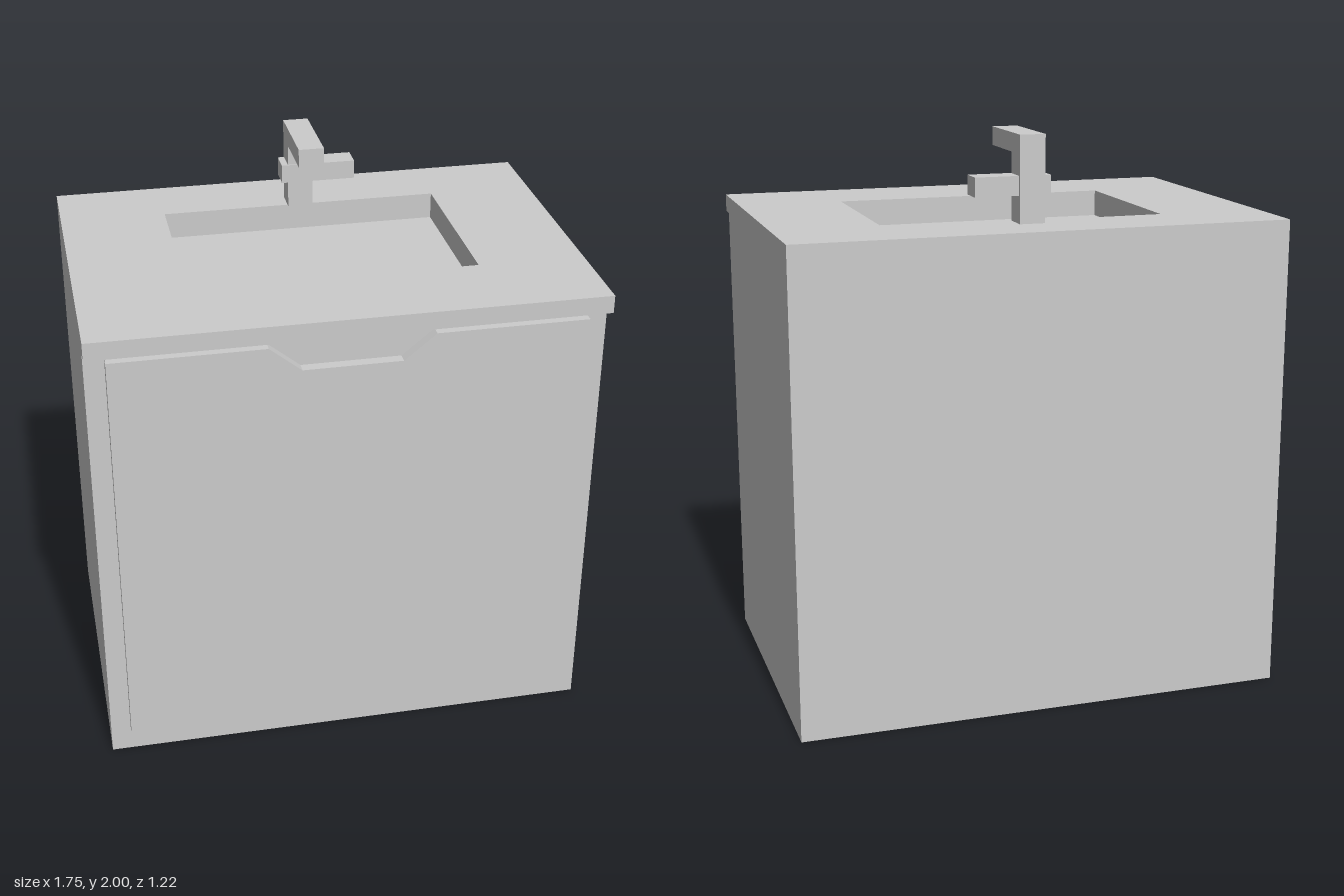
import * as THREE from 'three';

const material = new THREE.MeshStandardMaterial({ color: 0xcccccc, flatShading: true });

function addMesh(parent, name, geometry) {
  const mesh = new THREE.Mesh(geometry, material);
  mesh.name = name;
  parent.add(mesh);
}

// Box given by its lower and upper limits on each axis
function addBox(parent, name, [x0, x1], [y0, y1], [z0, z1]) {
  const geometry = new THREE.BoxGeometry(x1 - x0, y1 - y0, z1 - z0);
  geometry.translate((x0 + x1) / 2, (y0 + y1) / 2, (z0 + z1) / 2);
  addMesh(parent, name, geometry);
}

const points = (list) => list.map(([x, y]) => new THREE.Vector2(x, y));
const rectangle = (w, z0, z1) => points([[-w, -z1], [w, -z1], [w, -z0], [-w, -z0]]);

// Horizontal slab with the basin opening cut through it
function addBasinSlab(parent, name, y0, y1, zFront) {
  const shape = new THREE.Shape(rectangle(0.875, -0.605, zFront));
  shape.holes.push(new THREE.Path(rectangle(0.5, -0.355, 0.29).reverse()));
  const geometry = new THREE.ExtrudeGeometry(shape, { depth: y1 - y0, bevelEnabled: false });
  geometry.rotateX(-Math.PI / 2).translate(0, y0, 0);
  addMesh(parent, name, geometry);
}

export function createModel() {
  const vanity = new THREE.Group();
  vanity.name = 'vanityUnit';

  // Cabinet; its lower block also forms the basin floor
  const cabinet = new THREE.Group();
  cabinet.name = 'cabinet';
  addBox(cabinet, 'cabinetBody', [-0.875, 0.875], [0, 1.605], [-0.605, 0.55]);
  addBasinSlab(cabinet, 'cabinetRim', 1.605, 1.637, 0.55);
  addBasinSlab(cabinet, 'countertop', 1.637, 1.7, 0.61);

  // Door panel with a tapered finger notch in the top edge
  const door = new THREE.Shape(points([
    [-0.805, 0.095], [0.805, 0.095], [0.805, 1.61], [0.28, 1.61],
    [0.17, 1.52], [-0.17, 1.52], [-0.28, 1.61], [-0.805, 1.61],
  ]));
  const doorGeometry = new THREE.ExtrudeGeometry(door, { depth: 0.038, bevelEnabled: false });
  addMesh(cabinet, 'door', doorGeometry.translate(0, 0, 0.55));
  vanity.add(cabinet);

  // Square faucet with a forward spout and a side lever
  const faucet = new THREE.Group();
  faucet.name = 'faucet';
  addBox(faucet, 'faucetPost', [-0.045, 0.045], [1.7, 1.935], [-0.43, -0.34]);
  addBox(faucet, 'faucetSpout', [-0.045, 0.045], [1.935, 2], [-0.43, -0.125]);
  addBox(faucet, 'faucetLever', [-0.068, 0.2], [1.795, 1.862], [-0.42, -0.335]);
  vanity.add(faucet);

  return vanity;
}
